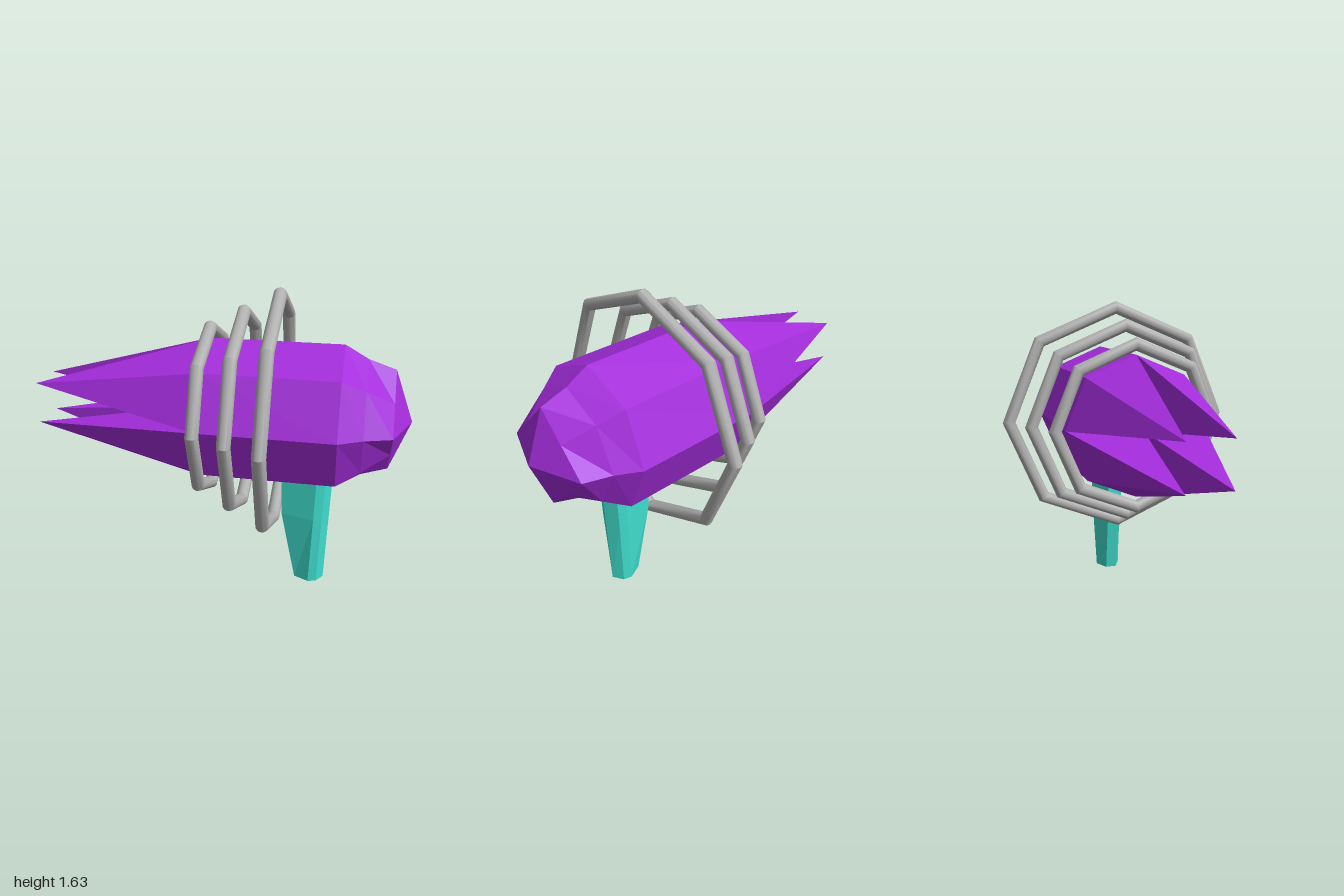
import * as THREE from 'three';
import { toCreasedNormals } from 'three/addons/utils/BufferGeometryUtils.js';

const AXIS_Y = 0.975; // height of the barrel axis

// Flat-shaded geometry from a list of triangle corners
function facets(points) {
  const geo = new THREE.BufferGeometry().setFromPoints(points);
  geo.computeVertexNormals();
  return geo;
}

// Skin between successive rings of points, with optional end caps
function loft(rings, caps) {
  const out = [];
  const n = rings[0].length;
  for (let i = 0; i < rings.length - 1; i++) {
    for (let j = 0; j < n; j++) {
      const k = (j + 1) % n;
      const a = rings[i][j], b = rings[i][k], c = rings[i + 1][k], d = rings[i + 1][j];
      out.push(a, b, c, a, c, d);
    }
  }
  if (caps) {
    const first = rings[0], last = rings[rings.length - 1];
    for (let j = 1; j < n - 1; j++) {
      out.push(first[0], first[j + 1], first[j], last[0], last[j], last[j + 1]);
    }
  }
  return facets(out);
}

// Point around the barrel axis; step counts eighths of a turn
function around(x, r, step) {
  const a = step * Math.PI / 4;
  return new THREE.Vector3(x, AXIS_Y + r * Math.cos(a), r * Math.sin(a));
}

// Eight-point ring with separate radii on the axes and the diagonals
function barrelRing(x, rAxis, rDiag) {
  return Array.from({ length: 8 }, (_, j) => around(x, j % 2 ? rDiag : rAxis, j));
}

// One rear prong: an outer pair of facets and an inner pair meeting at the tip
function prongGeometry(k) {
  const s = 2 * k;
  const tip = around(-1, 0.158, s + 1);
  const loop = [around(-0.05, 0.385, s), around(-0.05, 0.385, s + 1),
    around(-0.05, 0.385, s + 2), new THREE.Vector3(-0.17, AXIS_Y, 0)];
  const out = [];
  loop.forEach((p, j) => out.push(tip, loop[(j + 1) % 4], p));
  return facets(out);
}

// Grip cross-section at height y: back x, front x, half width
function gripRing(y, back, front, w) {
  const mid = front - 0.08;
  const half = [[mid, w], [front - 0.035, w * 0.82], [front, 0]];
  const pts = [
    [back, w * 0.45], ...half,
    [front - 0.035, -w * 0.82], [mid, -w], [back, -w * 0.45],
  ];
  return pts.map(([x, z]) => new THREE.Vector3(x, y, z));
}

export function createModel() {
  const purple = new THREE.MeshStandardMaterial({ color: 0xa42ddc });
  purple.name = 'purple';
  const grey = new THREE.MeshStandardMaterial({ color: 0xb0b0b0 });
  grey.name = 'grey';
  const turquoise = new THREE.MeshStandardMaterial({ color: 0x40e0d0 });
  turquoise.name = 'turquoise';

  const model = new THREE.Group();
  model.name = 'rayBlaster';
  const add = (name, geo, mat) => {
    const mesh = new THREE.Mesh(geo, mat);
    mesh.name = name;
    model.add(mesh);
    return mesh;
  };

  // Octagonal barrel narrowing to a four-sided point
  add('barrel', loft([
    barrelRing(-0.05, 0.385, 0.385),
    barrelRing(0.64, 0.385, 0.385),
    barrelRing(0.76, 0.317, 0.3),
    barrelRing(0.9, 0.27, 0.27 * Math.SQRT1_2),
    barrelRing(1, 0, 0),
  ]), purple);

  // Four prongs
  for (let k = 0; k < 4; k++) add('prong' + (k + 1), prongGeometry(k), purple);

  // Floating eight-sided hoops, growing toward the point
  [[-0.05, 0.44], [0.125, 0.53], [0.305, 0.622]].forEach(([x, r], i) => {
    const geo = toCreasedNormals(new THREE.TorusGeometry(r, 0.035, 12, 8), 0.6);
    const hoop = add('hoop' + (i + 1), geo, grey);
    hoop.rotation.y = Math.PI / 2;
    hoop.position.set(x, AXIS_Y, 0);
  });

  // Tapered grip
  add('grip', loft([
    gripRing(0, 0.44, 0.6, 0.07),
    gripRing(0.4, 0.355, 0.613, 0.088),
    gripRing(0.68, 0.345, 0.622, 0.09),
  ], true), turquoise);

  return model;
}
